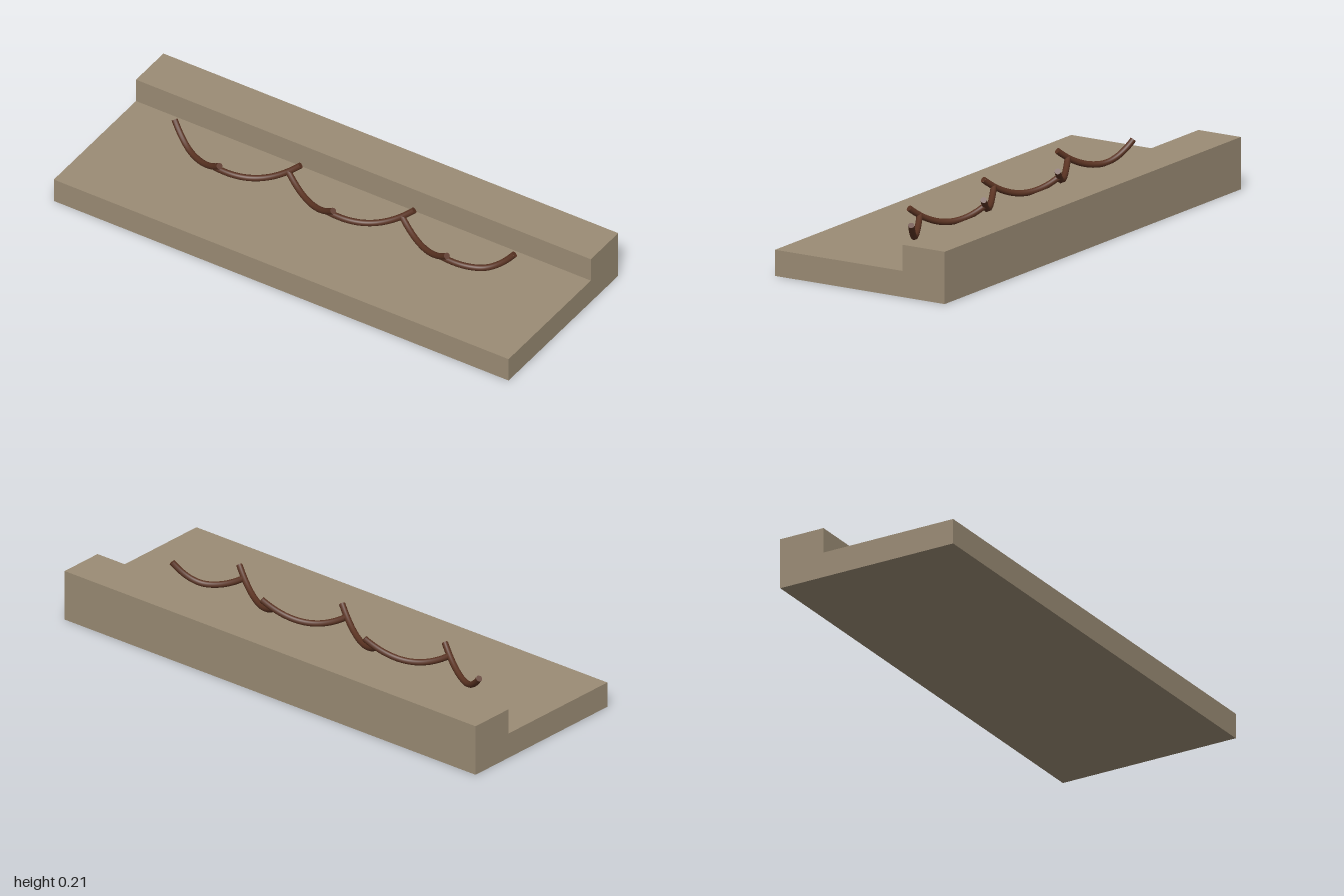
import * as THREE from 'three';

// Branch whose two halves are parabolas meeting at a shared low point
class SaggingBranch extends THREE.Curve {
  constructor(midX, zSign, start, end) {
    super();
    Object.assign(this, { midX, zSign, start, end });
  }
  getPoint(t, target = new THREE.Vector3()) {
    const d = THREE.MathUtils.lerp(-this.start.reach, this.end.reach, t);
    const side = d < 0 ? this.start : this.end;
    const y = 0.125 + side.rise * (d / side.reach) ** 2;
    return target.set(this.midX + d, y, this.zSign * d / 2);
  }
}

export function createModel() {
  const group = new THREE.Group();
  const stone = new THREE.MeshStandardMaterial({ color: 0x9b8c75 });
  const bark = new THREE.MeshStandardMaterial({ color: 0x5a3322 });

  // Stepped slab: L-shaped section extruded along x (shape x becomes -z)
  const section = new THREE.Shape([
    [-0.375, 0], [0.375, 0], [0.375, 0.2], [0.1875, 0.2], [0.1875, 0.1], [-0.375, 0.1],
  ].map(([x, y]) => new THREE.Vector2(x, y)));
  const slabGeometry = new THREE.ExtrudeGeometry(section, { depth: 2, bevelEnabled: false });
  slabGeometry.translate(0, 0, -1).rotateY(Math.PI / 2);
  const slab = new THREE.Mesh(slabGeometry, stone);
  slab.name = 'steppedSlab';
  group.add(slab);

  // Zigzag of sagging branches, each overshooting the start of the next
  const branches = new THREE.Group();
  branches.name = 'branches';
  const count = 6, radius = 0.012;
  for (let i = 0; i < count; i++) {
    const start = { reach: 0.125, rise: i === 0 ? 0.075 : 0.043 };
    const end = { reach: i === count - 1 ? 0.121 : 0.166, rise: 0.075 };
    const curve = new SaggingBranch(-0.625 + i * 0.25, i % 2 ? -1 : 1, start, end);
    const branch = new THREE.Mesh(new THREE.TubeGeometry(curve, 32, radius, 12), bark);
    branch.name = `branch${i + 1}`;
    // Flat end caps
    for (const t of [0, 1]) {
      const cap = new THREE.Mesh(new THREE.CircleGeometry(radius, 12), bark);
      const outward = curve.getTangentAt(t).multiplyScalar(t ? 1 : -1);
      cap.name = t ? 'endCap' : 'startCap';
      cap.position.copy(curve.getPoint(t));
      cap.quaternion.setFromUnitVectors(new THREE.Vector3(0, 0, 1), outward);
      branch.add(cap);
    }
    branches.add(branch);
  }
  group.add(branches);
  return group;
}
